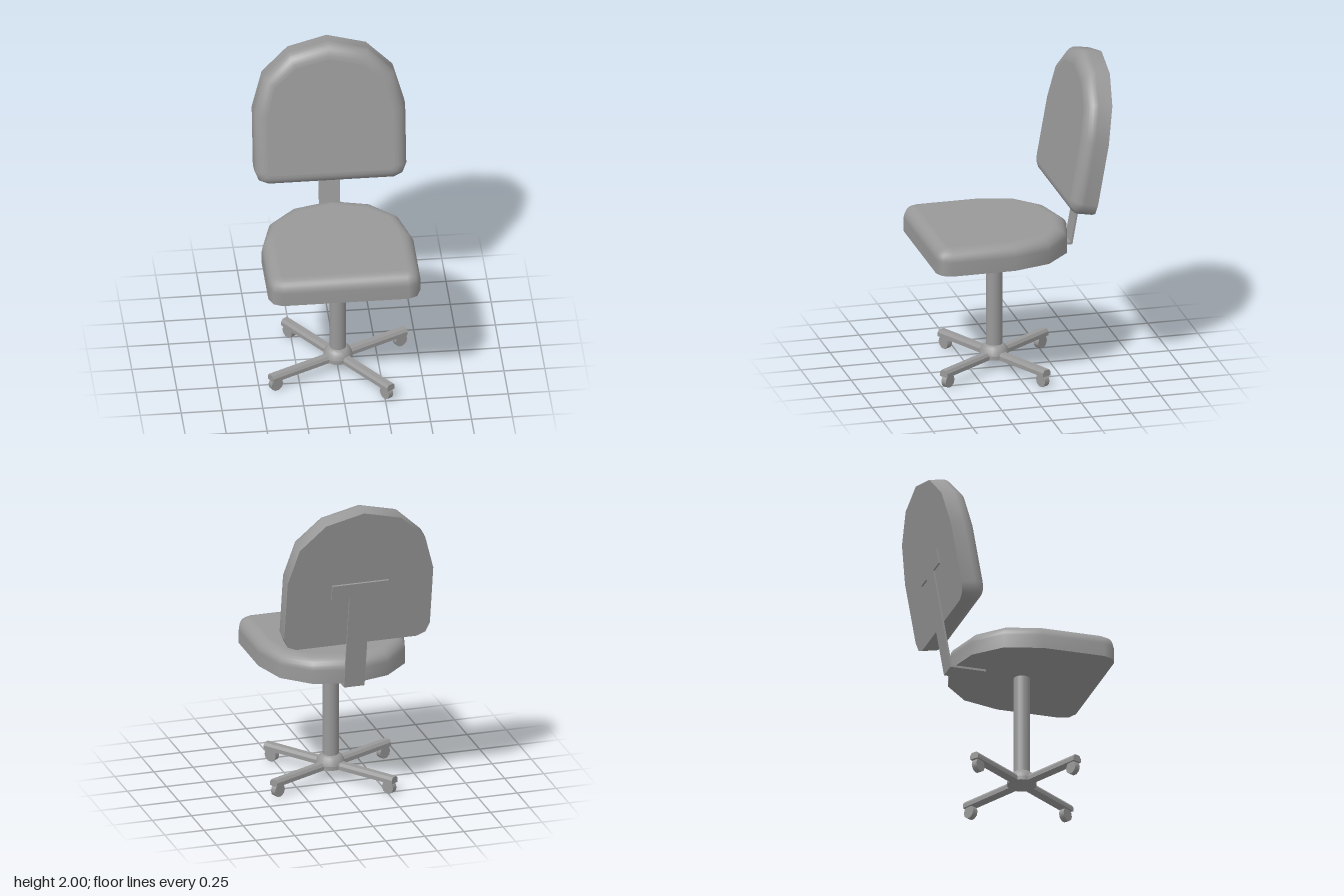
import * as THREE from 'three';
import { mergeGeometries } from 'three/addons/utils/BufferGeometryUtils.js';

// Right half of the cushion outline [x, z], front to back, with its inset top face
const OUTER = [[0.385, 0.567], [0.44, 0.542], [0.465, 0.48], [0.465, 0.09], [0.4, -0.14], [0.24, -0.295], [0, -0.357]];
const INNER = [[0.365, 0.495], [0.38, 0.488], [0.388, 0.465], [0.388, 0.1], [0.338, -0.095], [0.205, -0.215], [0, -0.265]];

const mirrored = (half) => [...half, ...half.slice(0, -1).reverse().map(([x, z]) => [-x, z])];

function buffer(positions, index) {
  const g = new THREE.BufferGeometry();
  g.setAttribute('position', new THREE.Float32BufferAttribute(positions, 3));
  g.setIndex(index);
  g.computeVertexNormals();
  return g;
}

// Padded cushion lying on y = 0: straight sides, rounded top edge, flat top and underside
function cushionGeometry(height, round) {
  const outer = mirrored(OUTER), inner = mirrored(INNER), n = outer.length;
  const ring = (t, y) => outer.map(([x, z], i) => [x + (inner[i][0] - x) * t, y, z + (inner[i][1] - z) * t]);
  const rings = [ring(0, 0)];
  const steps = 7;
  for (let k = 0; k <= steps; k++) {
    const a = (k / steps) * Math.PI / 2;
    rings.push(ring(1 - Math.cos(a), height - round + round * Math.sin(a)));
  }
  const side = [];
  for (let j = 0; j < rings.length - 1; j++) {
    for (let i = 0; i < n; i++) {
      const a = j * n + i, b = j * n + (i + 1) % n;
      side.push(a, b, b + n, a, b + n, a + n);
    }
  }
  const top = [], bottom = [];
  for (let i = 1; i < n - 1; i++) {
    top.push(0, i, i + 1);
    bottom.push(0, i + 1, i);
  }
  return mergeGeometries([
    buffer(rings.flat(2), side),
    buffer(rings[rings.length - 1].flat(), top),
    buffer(rings[0].flat(), bottom),
  ]);
}

export function createModel() {
  const grey = new THREE.MeshStandardMaterial({ color: 0x999999 });
  grey.name = 'grey';
  const model = new THREE.Group();
  model.name = 'officeChair';
  const add = (parent, name, geometry, x = 0, y = 0, z = 0) => {
    const mesh = new THREE.Mesh(geometry, grey);
    mesh.name = name;
    mesh.position.set(x, y, z);
    parent.add(mesh);
    return mesh;
  };

  // Seat and backrest share one cushion shape
  const tilt = THREE.MathUtils.degToRad(10);
  const cushion = cushionGeometry(0.16, 0.075);
  add(model, 'seat', cushion, 0, 0.79, 0);
  const back = add(model, 'backrest', cushion, 0, 1.635, -0.514);
  back.rotation.x = Math.PI / 2 - tilt;

  // T-shaped bracket joining seat and backrest
  add(model, 'bracketFoot', new THREE.BoxGeometry(0.13, 0.014, 0.225), 0, 0.783, -0.2625);
  const bracket = new THREE.Group();
  bracket.name = 'backBracket';
  bracket.position.set(0, 0.777, -0.37);
  bracket.rotation.x = -tilt;
  add(bracket, 'bracketStem', new THREE.BoxGeometry(0.13, 0.65, 0.012), 0, 0.325, 0);
  add(bracket, 'bracketCrossbar', new THREE.BoxGeometry(0.36, 0.095, 0.012), 0, 0.6875, 0);
  model.add(bracket);

  // Column and domed hub
  const base = new THREE.Group();
  base.name = 'base';
  base.position.z = 0.1;
  model.add(base);
  add(base, 'column', new THREE.CylinderGeometry(0.05, 0.05, 0.67, 20), 0, 0.455, 0);
  add(base, 'hubDisc', new THREE.CylinderGeometry(0.09, 0.09, 0.025, 16), 0, 0.0875, 0);
  const dome = [[0.09, 0.1], [0.084, 0.123], [0.07, 0.145], [0.05, 0.158], [0, 0.163]];
  add(base, 'hubDome', new THREE.LatheGeometry(dome.map(([r, y]) => new THREE.Vector2(r, y)), 16));

  // Four legs with bevelled tops, each carrying a wheel
  const profile = new THREE.Shape([[-0.03, 0.075], [0.03, 0.075], [0.03, 0.1], [0.018, 0.117], [-0.018, 0.117], [-0.03, 0.1]]
    .map(([x, y]) => new THREE.Vector2(x, y)));
  const legGeometry = new THREE.ExtrudeGeometry(profile, { depth: 0.485, bevelEnabled: false });
  const wheelGeometry = new THREE.CylinderGeometry(0.042, 0.042, 0.036, 10).rotateZ(Math.PI / 2);
  for (const [x, z] of [[0.4, -0.2], [-0.4, 0.2], [0.26, 0.36], [-0.26, -0.36]]) {
    const leg = new THREE.Group();
    leg.name = 'leg';
    leg.rotation.y = Math.atan2(x, z);
    add(leg, 'legBar', legGeometry);
    add(leg, 'wheel', wheelGeometry, 0, 0.042, Math.hypot(x, z));
    base.add(leg);
  }
  return model;
}
